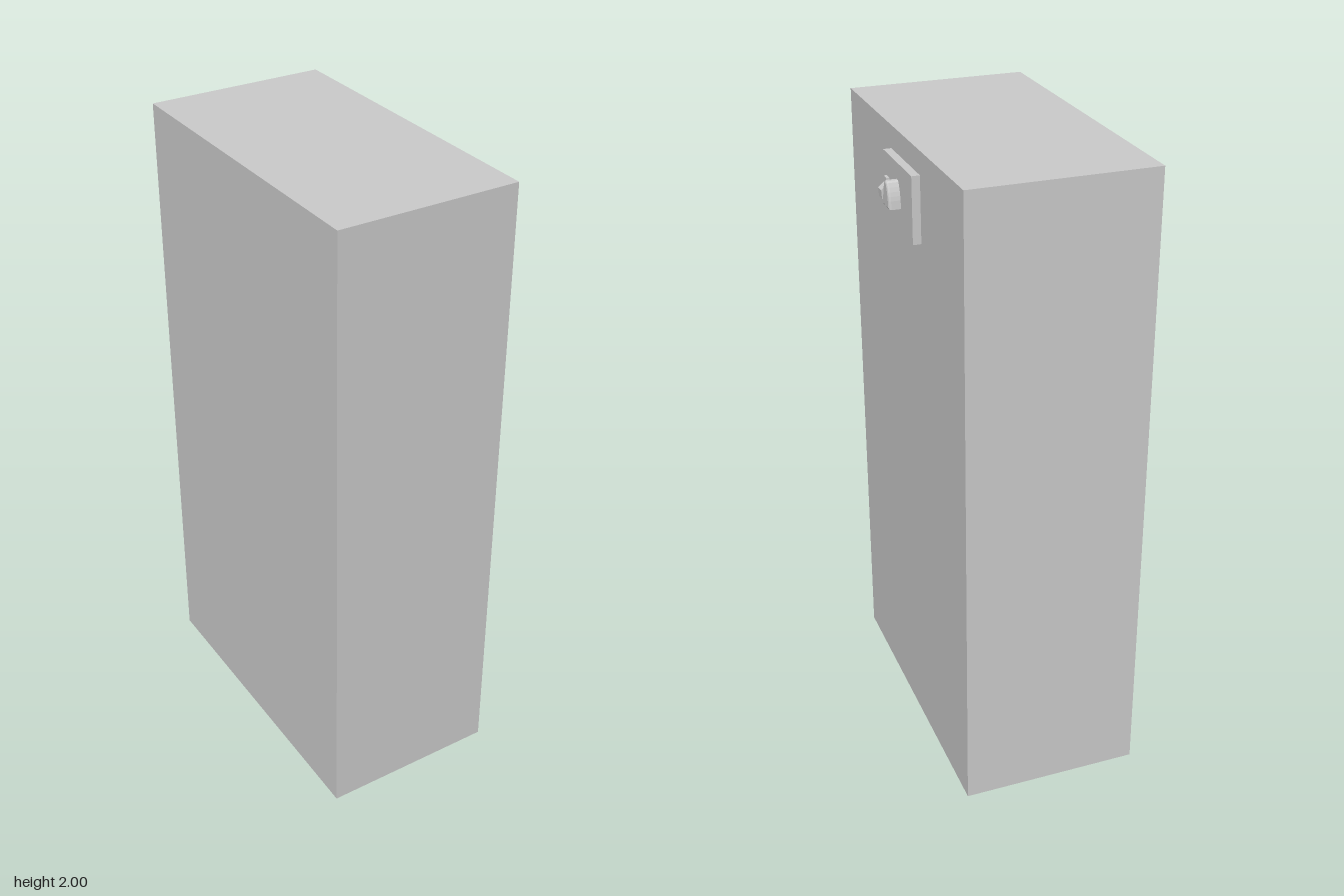
import * as THREE from 'three';

const grey = new THREE.MeshStandardMaterial({ color: 0xcccccc, flatShading: true });

function addMesh(group, name, geometry, x = 0, y = 0, z = 0) {
  const mesh = new THREE.Mesh(geometry, grey);
  mesh.name = name;
  mesh.position.set(x, y, z);
  group.add(mesh);
  return mesh;
}

// Box given by its minimum and maximum corners
function addBox(group, name, min, max) {
  const size = max.map((v, i) => v - min[i]);
  const mid = max.map((v, i) => (v + min[i]) / 2);
  return addMesh(group, name, new THREE.BoxGeometry(...size), ...mid);
}

export function createModel() {
  const model = new THREE.Group();
  model.name = 'cabinet';

  // Tall cabinet with a mounting plate on its left side
  addBox(model, 'body', [-0.313, 0, -0.516], [0.252, 2, 0.516]);
  addBox(model, 'mountingPlate', [0.252, 1.73, -0.163], [0.277, 1.93, 0.1]);

  // Arched knob, wide at the foot, with a softened outer rim
  const arch = new THREE.Shape();
  arch.moveTo(0, 0);
  arch.lineTo(0.06, 0);
  arch.lineTo(0.058, 0.025);
  arch.quadraticCurveTo(0.055, 0.05, 0.042, 0.074);
  arch.lineTo(0.036, 0.078);
  arch.lineTo(0.024, 0.078);
  arch.lineTo(0.018, 0.074);
  arch.quadraticCurveTo(0.005, 0.05, 0.002, 0.025);
  arch.closePath();
  const knob = new THREE.ExtrudeGeometry(arch, {
    depth: 0.03, curveSegments: 4,
    bevelThickness: 0.008, bevelSize: 0.006, bevelOffset: -0.006, bevelSegments: 2,
  });
  knob.rotateY(Math.PI / 2);
  addMesh(model, 'archedKnob', knob, 0.275, 1.802, 0);

  // Small toggle: upright back piece and a lever sloping out to a blunt foot
  addBox(model, 'toggleBack', [0.277, 1.805, 0.044], [0.287, 1.862, 0.069]);
  const profile = new THREE.Shape([
    [0, 0], [0.025, 0], [0.027, 0.026], [0.01, 0.04], [0, 0.04],
  ].map(([x, y]) => new THREE.Vector2(x, y)));
  const lever = new THREE.ExtrudeGeometry(profile, { depth: 0.03, bevelEnabled: false });
  addMesh(model, 'toggleLever', lever, 0.277, 1.802, 0.042);

  return model;
}
